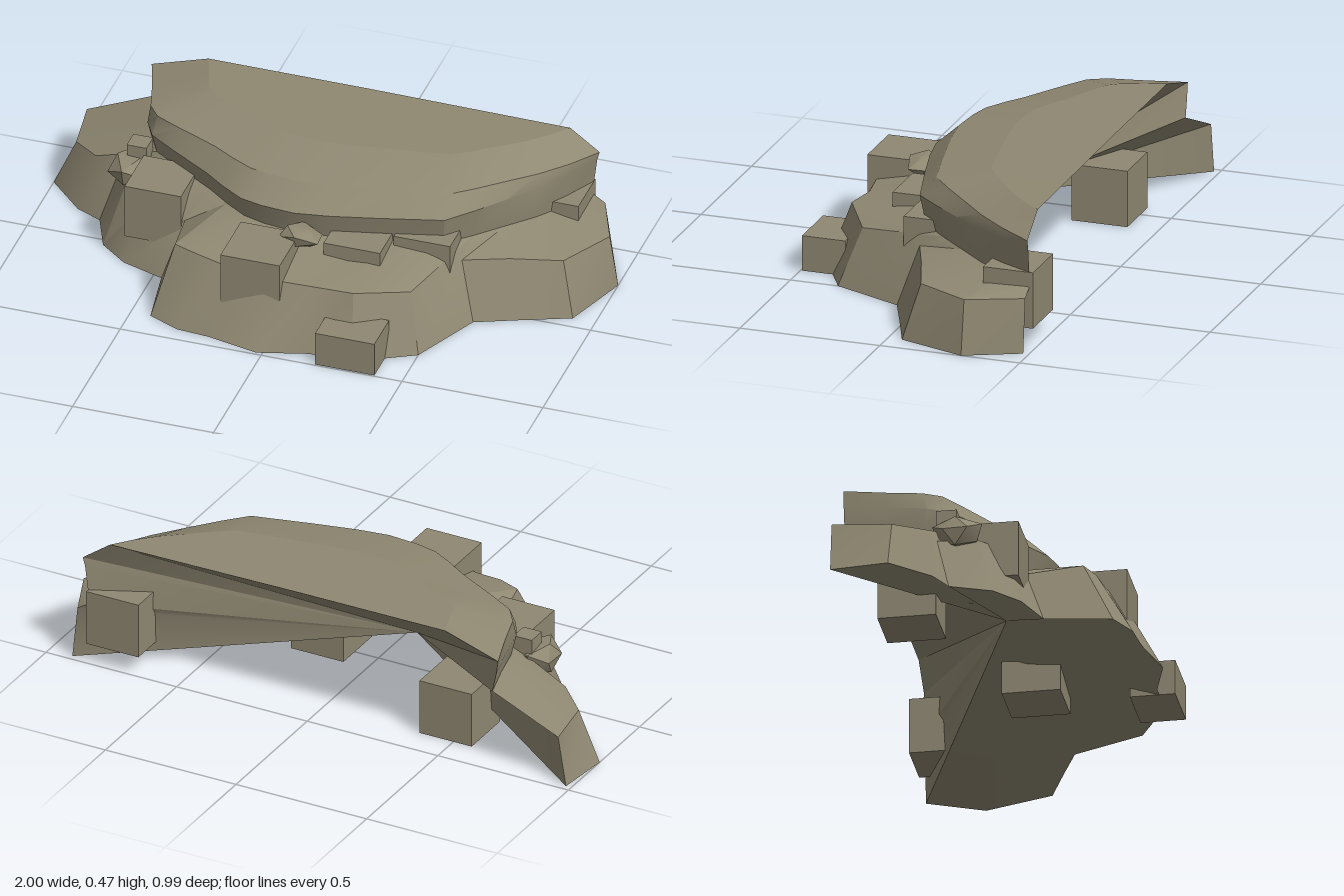
import * as THREE from 'three';
import { toCreasedNormals } from 'three/addons/utils/BufferGeometryUtils.js';

const stone = new THREE.MeshStandardMaterial({ color: 0x8f8872 });
stone.name = 'stone';

// Cliff foot on the ground, from the left end round the front to the right end: x, z
const foot = [
  [-.98, -.48], [-1, -.28], [-.87, -.15], [-.78, -.11], [-.72, .03], [-.62, .11], [-.47, .16],
  [-.43, .39], [-.32, .44], [-.2, .45], [-.02, .49], [.15, .44], [.3, .44], [.5, .33],
  [.61, .08], [.75, .02], [.92, -.05], [1, -.29], [.91, -.48],
];
// Edge of the ledge: x, y, z
const ledge = [
  [-.95, .18, -.48], [-.92, .18, -.28], [-.82, .2, -.19], [-.72, .2, -.16], [-.66, .22, -.03],
  [-.55, .23, .04], [-.41, .2, .09], [-.38, .23, .28], [-.3, .23, .31], [-.2, .22, .33],
  [-.03, .22, .37], [.13, .21, .35], [.28, .22, .36], [.45, .2, .26], [.55, .2, .02],
  [.7, .2, -.04], [.87, .19, -.1], [.97, .19, -.29], [.89, .19, -.48],
];
// Outline of the upper slab: x, z
const slab = [
  [-.72, -.48], [-.68, -.34], [-.65, -.21], [-.61, -.14], [-.52, -.08], [-.44, -.03], [-.36, .02],
  [-.28, .08], [-.2, .13], [-.12, .15], [0, .16], [.12, .14], [.28, .1], [.5, .04],
  [.58, -.05], [.66, -.15], [.74, -.25], [.81, -.36], [.87, -.48],
];

// Slab outline drawn in towards the middle of its back edge;
// each rule takes 0 at the left end to 1 at the right end
function slabRing(height, width, depth) {
  return slab.map(([x, z], i) => {
    const t = i / (slab.length - 1);
    return [x * width(t), height(t), -.48 + (z + .48) * depth(t)];
  });
}

function meshFrom(name, triangles) {
  const g = new THREE.BufferGeometry();
  g.setAttribute('position', new THREE.Float32BufferAttribute(triangles.flat(2), 3));
  const mesh = new THREE.Mesh(toCreasedNormals(g, .5), stone);
  mesh.name = name;
  return mesh;
}

// Wall of quads between neighbouring rings
function wall(rings) {
  const tris = [];
  for (let r = 0; r < rings.length - 1; r++) {
    const lo = rings[r], hi = rings[r + 1];
    for (let i = 0; i < lo.length - 1; i++) {
      tris.push([lo[i], lo[i + 1], hi[i + 1]], [lo[i], hi[i + 1], hi[i]]);
    }
  }
  return tris;
}

// Faceted boulder, squashed and bent by a fixed rule
function boulder(name, x, y, z, sx, sy, sz) {
  const g = new THREE.IcosahedronGeometry(1, 0);
  const p = g.attributes.position;
  for (let i = 0; i < p.count; i++) {
    const k = 1 + .12 * Math.sin(p.getX(i) * 5 + p.getY(i) * 3 + p.getZ(i) * 7);
    p.setXYZ(i, p.getX(i) * sx * k, p.getY(i) * sy * k, p.getZ(i) * sz * k);
  }
  const mesh = new THREE.Mesh(toCreasedNormals(g, .5), stone);
  mesh.position.set(x, y, z);
  mesh.name = name;
  return mesh;
}

// Squared block given by its limits
function block(name, x0, x1, y0, y1, z0, z1) {
  const mesh = new THREE.Mesh(new THREE.BoxGeometry(x1 - x0, y1 - y0, z1 - z0), stone);
  mesh.position.set((x0 + x1) / 2, (y0 + y1) / 2, (z0 + z1) / 2);
  mesh.name = name;
  return mesh;
}

export function createModel() {
  const group = new THREE.Group();
  group.name = 'rockOutcrop';

  // 0 at the middle of the front, 1 at both ends
  const toEnd = t => (2 * t - 1) ** 2;
  const ground = foot.map(([x, z]) => [x, 0, z]);
  const base = slabRing(t => .29 - .07 * t * t, () => .97, () => .96);
  const bulge = slabRing(() => .36, () => .99, () => 1);
  const shoulder = slabRing(
    t => .435 - (t < .5 ? .025 : .045) * toEnd(t),
    t => .95 + .05 * toEnd(t),
    t => .87 + .13 * toEnd(t));
  const top = slabRing(t => .474 - .008 * t, t => (t < .5 ? .72 : .88), () => .55);
  const rings = [ground, ledge, base, bulge, shoulder, top];

  // Lower cliff with its ledge, and the overhanging slab
  group.add(meshFrom('lowerCliff', wall([ground, ledge, base])));
  group.add(meshFrom('upperSlab', wall([base, bulge, shoulder, top])));

  // Flat top
  const mid = [.05, .473, -.48];
  const cap = [];
  for (let i = 0; i < top.length - 1; i++) cap.push([mid, top[i], top[i + 1]]);
  group.add(meshFrom('slabTop', cap));

  // Hollow underside and notched back, all meeting at one inner point
  const apex = [-.16, .15, -.02];
  const under = [];
  for (let i = 0; i < ground.length - 1; i++) under.push([apex, ground[i + 1], ground[i]]);
  group.add(meshFrom('underside', under));

  const back = [];
  const last = foot.length - 1;
  for (let r = 0; r < rings.length - 1; r++) {
    back.push([rings[r][0], rings[r + 1][0], apex]);
    back.push([rings[r + 1][last], rings[r][last], apex]);
  }
  back.push([top[0], mid, apex], [mid, top[last], apex]);
  group.add(meshFrom('hollowBack', back));

  // Squared blocks wedged into the cliff, the last ones under the slab and on the left ledge
  const blocks = [
    [-.18, .03, .1, .3, .18, .395], [.19, .4, 0, .125, .34, .495], [-.62, -.42, .1, .3, -.1, .1],
    [.12, .32, .1, .29, 0, .2], [.33, .53, .1, .29, -.12, .085], [.65, .85, .07, .27, -.493, -.315],
    [.09, .29, 0, .18, -.08, .12], [-.57, -.37, 0, .2, -.39, -.19], [-.68, -.61, .22, .33, -.17, -.1],
  ];
  blocks.forEach((b, i) => group.add(block('block' + (i + 1), ...b)));

  // Loose boulders on the ledge
  group.add(boulder('frontBoulder', .03, .295, .19, .08, .04, .055));
  group.add(boulder('sideBoulder', -.67, .24, -.1, .08, .06, .09));
  return group;
}
